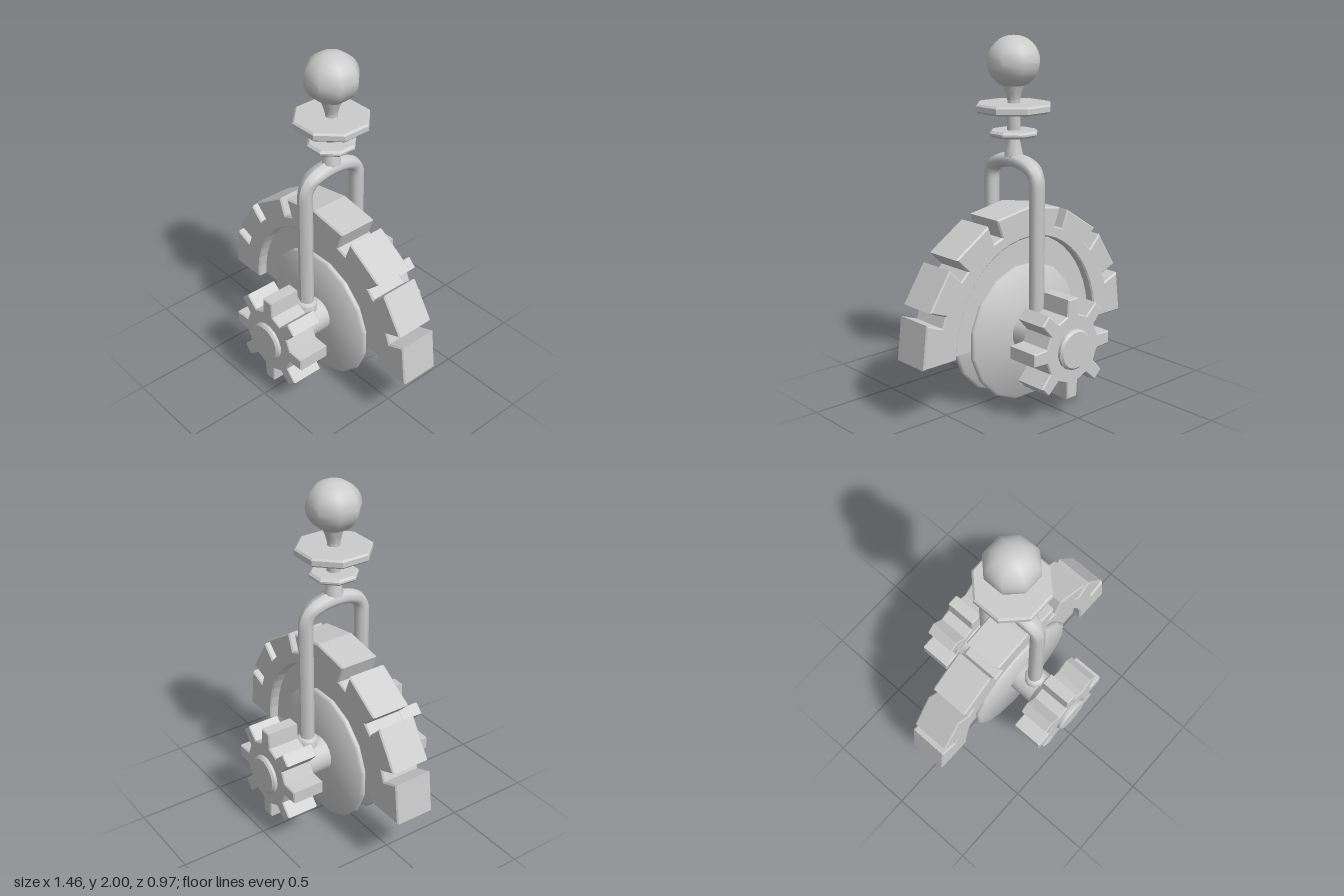
import * as THREE from 'three';
import { toCreasedNormals } from 'three/addons/utils/BufferGeometryUtils.js';

const AXLE_Y = 0.385;   // height of the axle
const ARCH_Y = 0.35;    // height of the flat underside of the arch
const STEM_X = 0.012;

export function createModel() {
  const model = new THREE.Group();
  const material = new THREE.MeshStandardMaterial({ color: 0xcccccc });

  const add = (name, geometry, x = 0, y = 0, z = 0) => {
    const mesh = new THREE.Mesh(geometry, material);
    mesh.name = name;
    mesh.position.set(x, y, z);
    model.add(mesh);
    return mesh;
  };

  // Turned part with flats facing the axes; radii are measured to the flats
  const turned = (profile, sides, crease = 0.8) => {
    const k = 1 / Math.cos(Math.PI / sides);
    const points = profile.map(([r, y]) => new THREE.Vector2(r * k, y));
    const geometry = new THREE.LatheGeometry(points, sides).rotateY(Math.PI / sides);
    return toCreasedNormals(geometry, crease);
  };

  // Disc profile with a chamfered rim
  const disc = (r, h, c) => [[0, -h / 2], [r - c, -h / 2], [r, -h / 2 + c], [r, h / 2 - c], [r - c, h / 2], [0, h / 2]];

  // Plate extruded along z, centred, with a small chamfer inside the outline
  const plate = (points, depth, bevel) => new THREE.ExtrudeGeometry(new THREE.Shape(points), {
    depth: depth - 2 * bevel, bevelEnabled: true, bevelThickness: bevel,
    bevelSize: bevel, bevelOffset: -bevel, bevelSegments: 1,
  }).translate(0, 0, bevel - depth / 2);

  const polar = (r, a) => new THREE.Vector2(r * Math.cos(a), r * Math.sin(a));
  const ellipseArc = (rx, ry, n) => Array.from({ length: n + 1 }, (_, i) => {
    const a = Math.PI * i / n;
    return new THREE.Vector2(rx * Math.cos(a), ry * Math.sin(a));
  });

  // Toothed arch: straight blocks separated by narrow slots
  const outer = [new THREE.Vector2(0.732, 0)];
  for (const degrees of [21, 44.5, 69.5, 90, 110.5, 135.5, 159]) {
    const a = THREE.MathUtils.degToRad(degrees);
    if (degrees === 90) { outer.push(polar(0.745, a)); continue; }
    const top = Math.asin(0.031 / 0.742), floor = Math.asin(0.031 / 0.635);
    outer.push(polar(0.742, a - top), polar(0.635, a - floor), polar(0.635, a + floor), polar(0.742, a + top));
  }
  outer.push(new THREE.Vector2(-0.732, 0));
  add('toothedArch', plate([...outer, ...ellipseArc(0.515, 0.575, 24).reverse()], 0.23, 0.008), 0, ARCH_Y);

  // Recessed web filling the arch
  const web = new THREE.ExtrudeGeometry(new THREE.Shape(ellipseArc(0.53, 0.59, 24)), { depth: 0.12, bevelEnabled: false });
  add('archWeb', web, 0, ARCH_Y, -0.06);

  // Axle with end caps and flared shoulders
  const half = [[0.1, 0.235], [0.112, 0.25], [0.132, 0.272], [0.11, 0.28], [0.11, 0.475], [0.098, 0.487], [0, 0.487]];
  const axle = [...half.map(([r, z]) => [r, -z]).reverse(), ...half];
  add('axle', turned(axle, 16, 0.6).rotateX(Math.PI / 2), 0.005, AXLE_Y);

  // Gear outline with eight parallel-sided teeth
  const gearPoints = [];
  for (let i = 0; i < 8; i++) {
    const centre = new THREE.Vector2();
    for (const [r, s] of [[0.185, -0.04], [0.277, -0.035], [0.277, 0.035], [0.185, 0.04]])
      gearPoints.push(new THREE.Vector2(r, s).rotateAround(centre, i * Math.PI / 4));
  }

  // Parts mirrored front and back
  for (const side of [1, -1]) {
    const place = side > 0 ? 'front' : 'back';
    add(place + 'Disc', turned(disc(0.382, 0.036, 0.012), 16).rotateX(Math.PI / 2), 0, AXLE_Y, side * 0.077);
    add(place + 'Gear', plate(gearPoints, 0.19, 0.006), 0.007, AXLE_Y, side * 0.365);
    add(place + 'RodSocket', turned([[0.058, -0.06], [0.058, 0.03], [0.046, 0.042], [0, 0.042]], 10),
      0.01, 0.487, side * 0.184);
  }

  // Yoke: one bent rod over the arch, broadened at the crown
  const yokePath = new THREE.CurvePath();
  const v = (y, z) => new THREE.Vector3(0, y, z);
  yokePath.add(new THREE.LineCurve3(v(0.48, 0.183), v(1.22, 0.183)));
  yokePath.add(new THREE.CubicBezierCurve3(v(1.22, 0.183), v(1.31, 0.183), v(1.335, 0.09), v(1.337, 0)));
  yokePath.add(new THREE.CubicBezierCurve3(v(1.337, 0), v(1.335, -0.09), v(1.31, -0.183), v(1.22, -0.183)));
  yokePath.add(new THREE.LineCurve3(v(1.22, -0.183), v(0.48, -0.183)));
  const yoke = new THREE.TubeGeometry(yokePath, 72, 0.04, 8, false);
  const pos = yoke.attributes.position;
  for (let i = 0; i < pos.count; i++) {
    const t = THREE.MathUtils.smoothstep(pos.getY(i), 1.27, 1.33);
    pos.setX(i, pos.getX(i) * (1.1 + 0.35 * t));
  }
  yoke.computeVertexNormals();
  add('yoke', yoke, 0.01);

  // Stem, collars and ball knob
  add('stem', turned([[0, 1.34], [0.05, 1.36], [0.045, 1.39], [0.03, 1.46], [0.036, 1.5], [0.034, 1.6],
    [0.033, 1.66], [0.042, 1.7], [0.06, 1.75]], 8), STEM_X);
  add('lowerCollar', turned(disc(0.125, 0.034, 0.012), 8, 0.5), STEM_X, 1.483);
  add('upperCollar', turned(disc(0.195, 0.048, 0.01), 8, 0.5), STEM_X, 1.621);
  const ball = Array.from({ length: 17 }, (_, i) => {
    const a = Math.PI * i / 16;
    return [0.138 * Math.sin(a), -0.138 * Math.cos(a)];
  });
  add('knob', turned(ball, 8), STEM_X, 1.862);

  return model;
}
